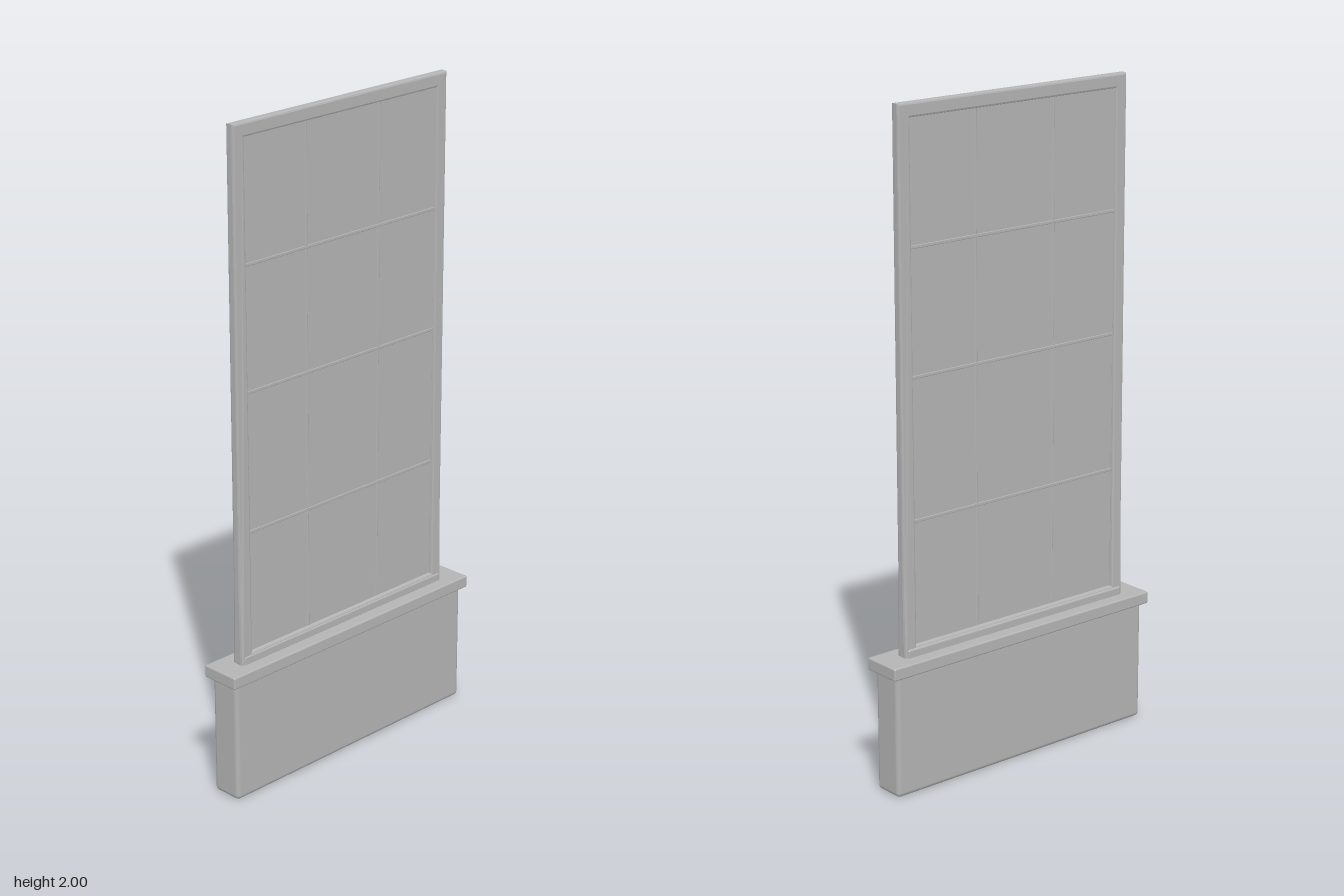
import * as THREE from 'three';
import { RoundedBoxGeometry } from 'three/addons/geometries/RoundedBoxGeometry.js';

export function createModel() {
  const model = new THREE.Group();
  const stone = new THREE.MeshStandardMaterial({ color: 0xb4b4b4 });
  stone.name = 'plain grey';

  function add(name, geometry, x = 0, y = 0, z = 0) {
    const mesh = new THREE.Mesh(geometry, stone);
    mesh.name = name;
    mesh.position.set(x, y, z);
    model.add(mesh);
    return mesh;
  }
  const rounded = (w, h, d, r) => new RoundedBoxGeometry(w, h, d, 2, r);

  // The panel thickens gently toward its foot
  function flare(geometry) {
    const p = geometry.attributes.position;
    for (let i = 0; i < p.count; i++) {
      const t = Math.max(0, (0.62 - p.getY(i)) / 0.21);
      p.setZ(i, p.getZ(i) * (1 + 0.4 * t));
    }
    geometry.computeVertexNormals();
    return geometry;
  }

  // Planter trough and its overhanging rim
  add('planterBody', rounded(0.945, 0.385, 0.1, 0.014), 0, 0.1925, -0.001);
  add('planterRim', rounded(0.98, 0.038, 0.125, 0.005), 0, 0.389, -0.001);

  // Outer frame with a bevelled opening
  const rect = (Type, x0, y0, x1, y1) => {
    const s = new Type();
    s.moveTo(x0, y0);
    s.lineTo(x1, y0);
    if (Type === THREE.Shape) s.lineTo(x1, 0.62);
    s.lineTo(x1, y1);
    s.lineTo(x0, y1);
    if (Type === THREE.Shape) s.lineTo(x0, 0.62);
    s.closePath();
    return s;
  };
  const outline = rect(THREE.Shape, -0.42, 0.4, 0.415, 2);
  outline.holes.push(rect(THREE.Path, -0.378, 0.44, 0.373, 1.958));
  const bevel = 0.006;
  const frameGeometry = new THREE.ExtrudeGeometry(outline, {
    depth: 0.016, bevelEnabled: true, bevelSize: bevel, bevelThickness: bevel,
    bevelOffset: -bevel, bevelSegments: 2,
  });
  frameGeometry.translate(0, 0, -0.008);
  add('frame', flare(frameGeometry));

  // Foot moulding where the frame meets the planter
  add('footMoulding', rounded(0.82, 0.03, 0.046, 0.006), -0.002, 0.418, -0.001);

  // Infill sheet
  add('infill', new THREE.BoxGeometry(0.77, 1.54, 0.018), -0.002, 1.2, 0);

  // Slender glazing bars, slightly proud on both faces
  for (const x of [-0.145, 0.142]) {
    add('verticalBar', rounded(0.008, 1.525, 0.0205, 0.002), x, 1.2, 0);
  }
  for (const y of [0.81, 1.23, 1.6]) {
    add('horizontalBar', rounded(0.756, 0.01, 0.021, 0.002), -0.002, y, 0);
  }

  return model;
}
